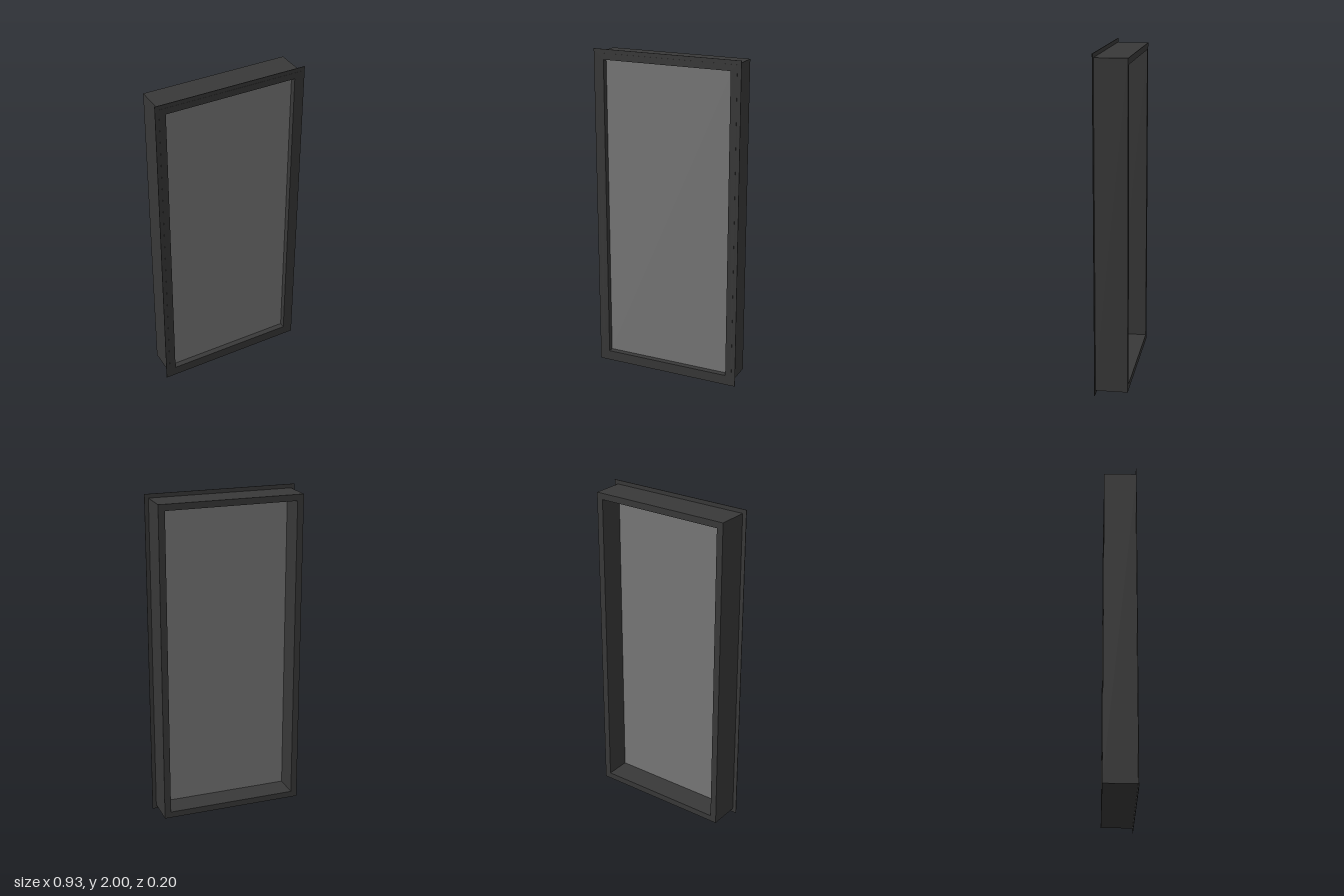
import * as THREE from 'three';

const frameMat = new THREE.MeshStandardMaterial({ color: 0x383838 });
const glassMat = new THREE.MeshStandardMaterial({ color: 0x777777 });

// Rectangular ring with half widths wo/wi and half heights ho/hi, spanning z0..z1
function ring(name, wo, ho, wi, hi, z0, z1) {
  const rect = (w, h, C) => new C([
    new THREE.Vector2(-w, -h), new THREE.Vector2(w, -h),
    new THREE.Vector2(w, h), new THREE.Vector2(-w, h),
  ]);
  const shape = rect(wo, ho, THREE.Shape);
  shape.holes.push(rect(wi, hi, THREE.Path));
  const geo = new THREE.ExtrudeGeometry(shape, { depth: z1 - z0, bevelEnabled: false });
  const mesh = new THREE.Mesh(geo, frameMat);
  mesh.name = name;
  mesh.position.set(0, 1, z0);
  return mesh;
}

export function createModel() {
  const group = new THREE.Group();
  group.name = 'window';

  // Deep box frame lining the opening
  group.add(ring('frame', 0.439, 0.976, 0.4, 0.938, -0.098, 0.098));

  // Thin flange around the front edge
  group.add(ring('flange', 0.463, 1, 0.439, 0.976, 0.093, 0.097));

  // Pane, set slightly back from the front
  const pane = new THREE.Mesh(new THREE.BoxGeometry(0.8, 1.876, 0.008), glassMat);
  pane.name = 'glassPane';
  pane.position.set(0, 1, 0.059);
  group.add(pane);

  return group;
}
